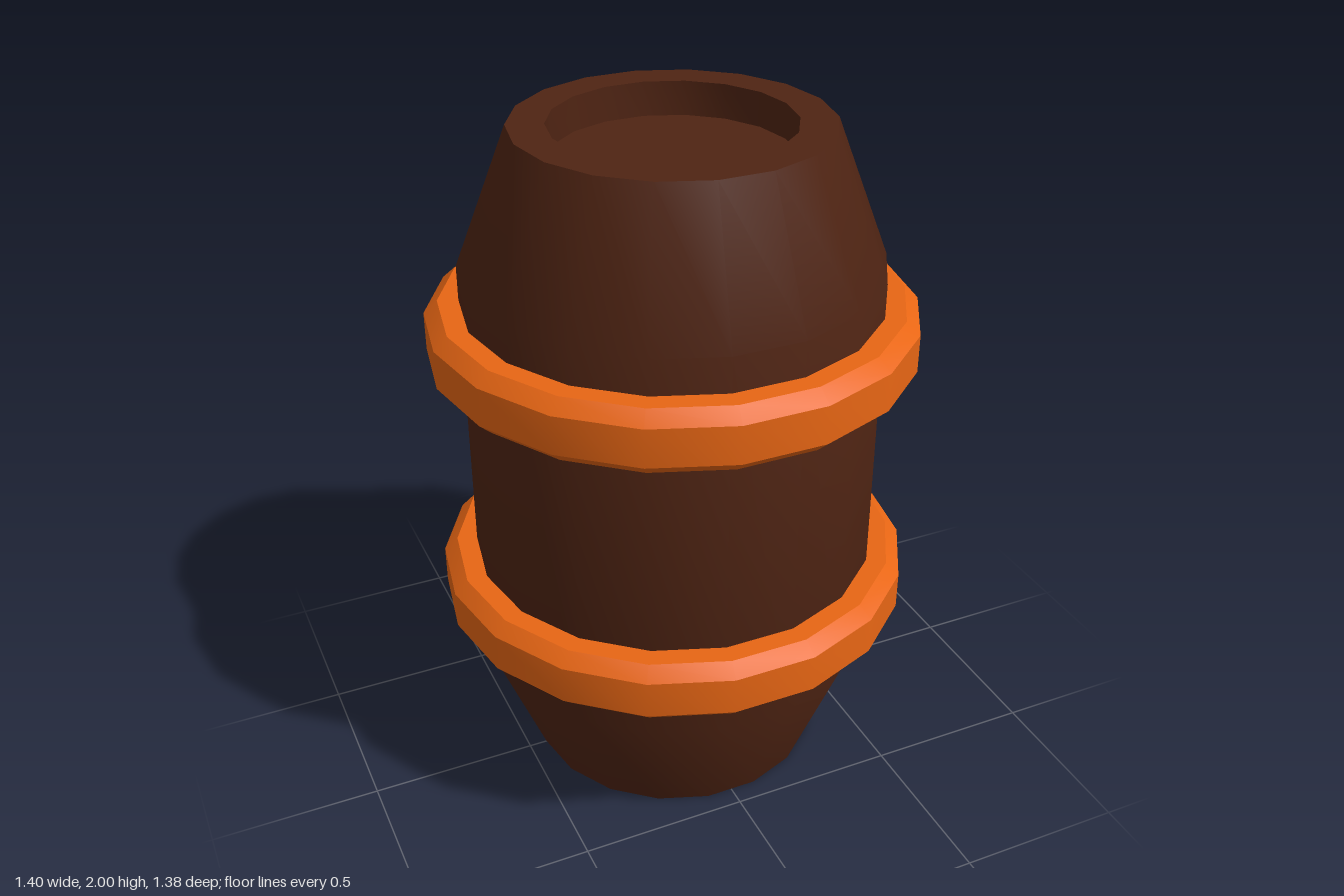
import * as THREE from 'three';
import { toCreasedNormals } from 'three/addons/utils/BufferGeometryUtils.js';

const SIDES = 18;

// Turn an [r, y] profile round the y axis, with a corner on the x axis
function turned(name, profile, material) {
  const points = profile.map(([r, y]) => new THREE.Vector2(r, y));
  const lathe = new THREE.LatheGeometry(points, SIDES, Math.PI / 2);
  const mesh = new THREE.Mesh(toCreasedNormals(lathe, Math.PI / 6), material);
  mesh.name = name;
  return mesh;
}

export function createModel() {
  const wood = new THREE.MeshStandardMaterial({ color: 0x4f2413 });
  const hoopPaint = new THREE.MeshStandardMaterial({ color: 0xe86614 });
  const barrel = new THREE.Group();
  barrel.name = 'barrel';

  // Body: flat bottom, tapered ends, recessed lid
  barrel.add(turned('body', [
    [0, 0], [0.445, 0], [0.6, 0.4], [0.6, 1.6],
    [0.445, 2], [0.34, 2], [0.34, 1.9], [0, 1.9],
  ], wood));

  // Two hoops with chamfered outer edges
  const hoopProfile = [
    [0.59, -0.093], [0.66, -0.093], [0.7, -0.056],
    [0.7, 0.056], [0.66, 0.093], [0.59, 0.093],
  ];
  for (const [name, y] of [['lowerHoop', 0.604], ['upperHoop', 1.404]]) {
    const hoop = turned(name, hoopProfile, hoopPaint);
    hoop.position.y = y;
    barrel.add(hoop);
  }
  return barrel;
}
